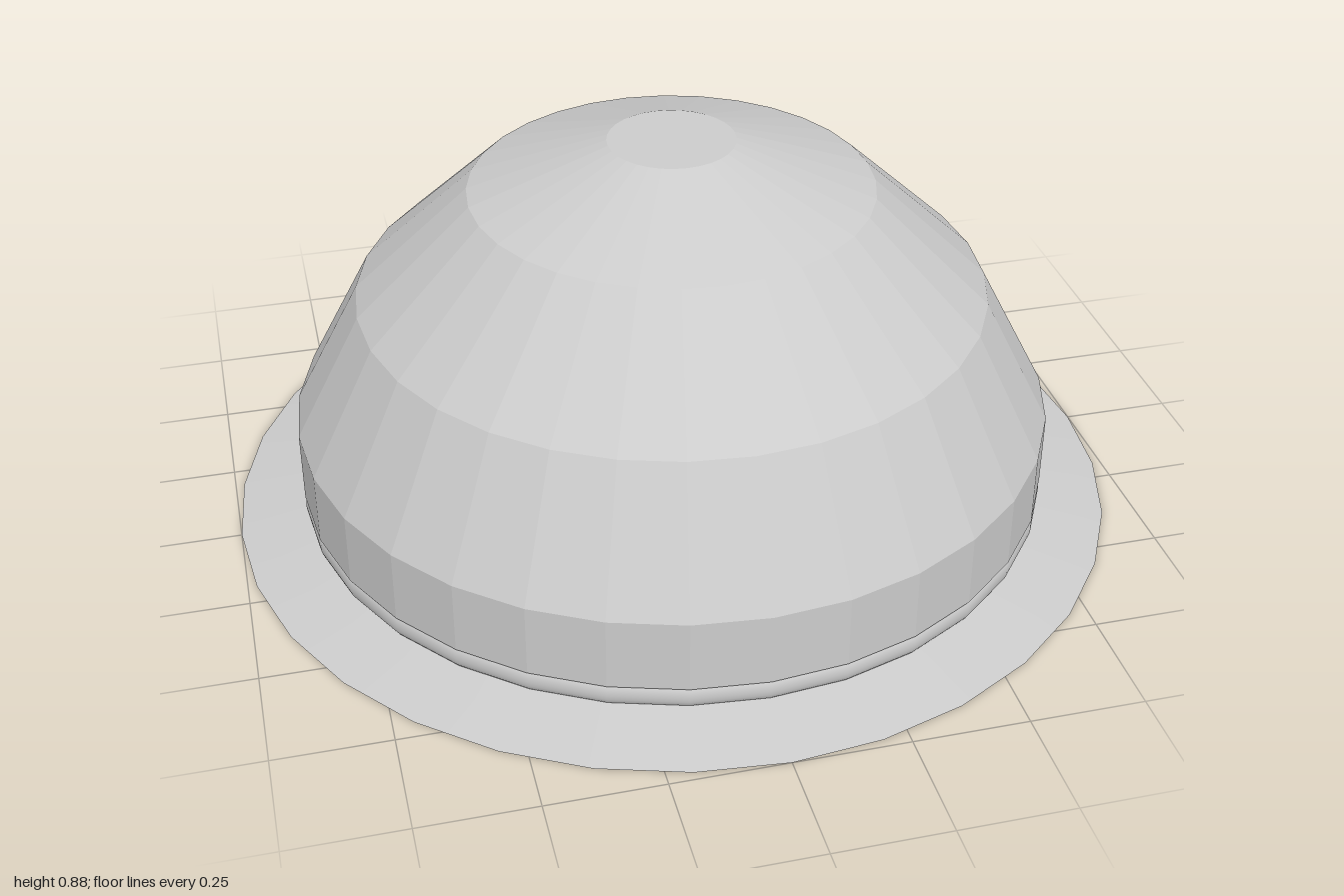
import * as THREE from 'three';

const SIDES = 32;

// Turned part from [radius, height] pairs, listed so faces point outward
function turned(name, profile, options = {}) {
  const points = profile.map(([r, y]) => new THREE.Vector2(r, y));
  const material = new THREE.MeshStandardMaterial({ color: 0xcccccc, ...options });
  const mesh = new THREE.Mesh(new THREE.LatheGeometry(points, SIDES), material);
  mesh.name = name;
  return mesh;
}

export function createModel() {
  const model = new THREE.Group();
  model.name = 'domedCap';

  // Faceted dome with a straight lower wall and a small flat top
  model.add(turned('dome', [
    [0.84, 0.08], [0.85, 0.08], [0.85, 0.245], [0.7, 0.53],
    [0.445, 0.77], [0.14, 0.88], [0, 0.88],
  ], { flatShading: true }));

  // Smooth rounded bead between wall and brim
  const bead = [];
  for (let i = 0; i <= 8; i++) {
    const a = -Math.PI / 2 + (i / 8) * Math.PI;
    bead.push([0.838 + 0.012 * Math.cos(a), 0.055 + 0.025 * Math.sin(a)]);
  }
  model.add(turned('bead', bead));

  // Thin brim sloping down to the ground
  model.add(turned('brim', [[1, 0], [0.838, 0.03]], { side: THREE.DoubleSide }));

  // Closed underside, set slightly above the rim
  model.add(turned('base', [[0, 0.029], [0.85, 0.029]], { flatShading: true }));

  return model;
}
